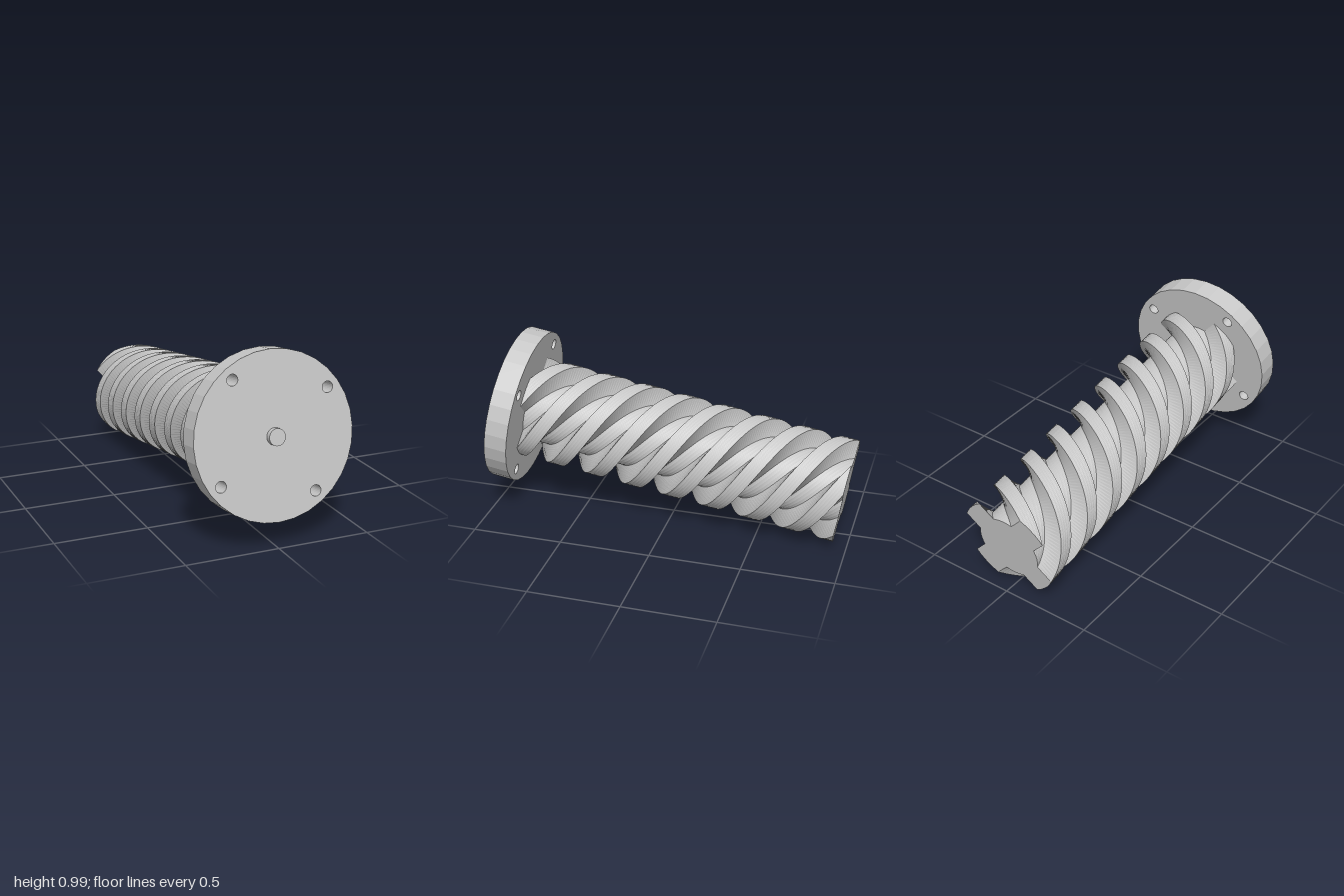
import * as THREE from 'three';

const RADIUS = 0.282, CORE = 0.185, ARM_HALF = 0.083; // screw section
const FLANGE_R = 0.43, FLANGE_T = 0.126, TOTAL = 1.92;

// points of a circular arc
function arc(r, a0, a1, n) {
  return Array.from({ length: n + 1 }, (_, i) => {
    const a = a0 + (a1 - a0) * i / n;
    return new THREE.Vector2(r * Math.cos(a), r * Math.sin(a));
  });
}

// four parallel-sided arms joined by a round core
function screwSection() {
  const tip = Math.asin(ARM_HALF / RADIUS), root = Math.asin(ARM_HALF / CORE);
  const pts = [];
  for (let i = 0; i < 4; i++) {
    const a = THREE.MathUtils.degToRad(42) + i * Math.PI / 2;
    pts.push(...arc(RADIUS, a - tip, a + tip, 5));
    pts.push(...arc(CORE, a + root, a + Math.PI / 2 - root, 4));
  }
  return new THREE.Shape(pts);
}

export function createModel() {
  const steel = new THREE.MeshStandardMaterial({ color: 0xc8c8c8, flatShading: true });
  steel.name = 'light grey';
  const model = new THREE.Group();
  model.name = 'fourStartScrew';

  const add = (name, geometry, z) => {
    const mesh = new THREE.Mesh(geometry, steel);
    mesh.name = name;
    mesh.position.z = z;
    model.add(mesh);
  };

  // screw: cross section twisted through two full turns
  const length = TOTAL - FLANGE_T;
  const screw = new THREE.ExtrudeGeometry(screwSection(), { depth: length, steps: 200, bevelEnabled: false });
  const p = screw.attributes.position;
  for (let i = 0; i < p.count; i++) {
    const a = -4 * Math.PI * p.getZ(i) / length;
    const x = p.getX(i), y = p.getY(i), c = Math.cos(a), s = Math.sin(a);
    p.setXY(i, x * c - y * s, x * s + y * c);
  }
  screw.computeVertexNormals();
  add('twistedScrew', screw, -TOTAL);

  // round flange with four bolt holes
  const disc = new THREE.Shape(arc(FLANGE_R, 0, 2 * Math.PI, 32).slice(0, -1));
  for (let i = 0; i < 4; i++) {
    const a = THREE.MathUtils.degToRad(34.8) + i * Math.PI / 2;
    const hole = arc(0.029, 0, 2 * Math.PI, 24).slice(0, -1);
    hole.forEach(v => v.add(new THREE.Vector2(0.366 * Math.cos(a), 0.366 * Math.sin(a))));
    disc.holes.push(new THREE.Path(hole));
  }
  add('flange', new THREE.ExtrudeGeometry(disc, { depth: FLANGE_T, bevelEnabled: false }), -FLANGE_T);

  // small centre pin on the flange face
  const pin = new THREE.CylinderGeometry(0.044, 0.044, 0.03, 32);
  pin.rotateX(Math.PI / 2);
  add('centrePin', pin, 0.015);

  // the axis slopes down towards the back
  model.rotation.x = -0.154;
  model.position.set(0, 0.57, 0.934);
  const root = new THREE.Group();
  root.name = 'screwAssembly';
  root.add(model);
  return root;
}
